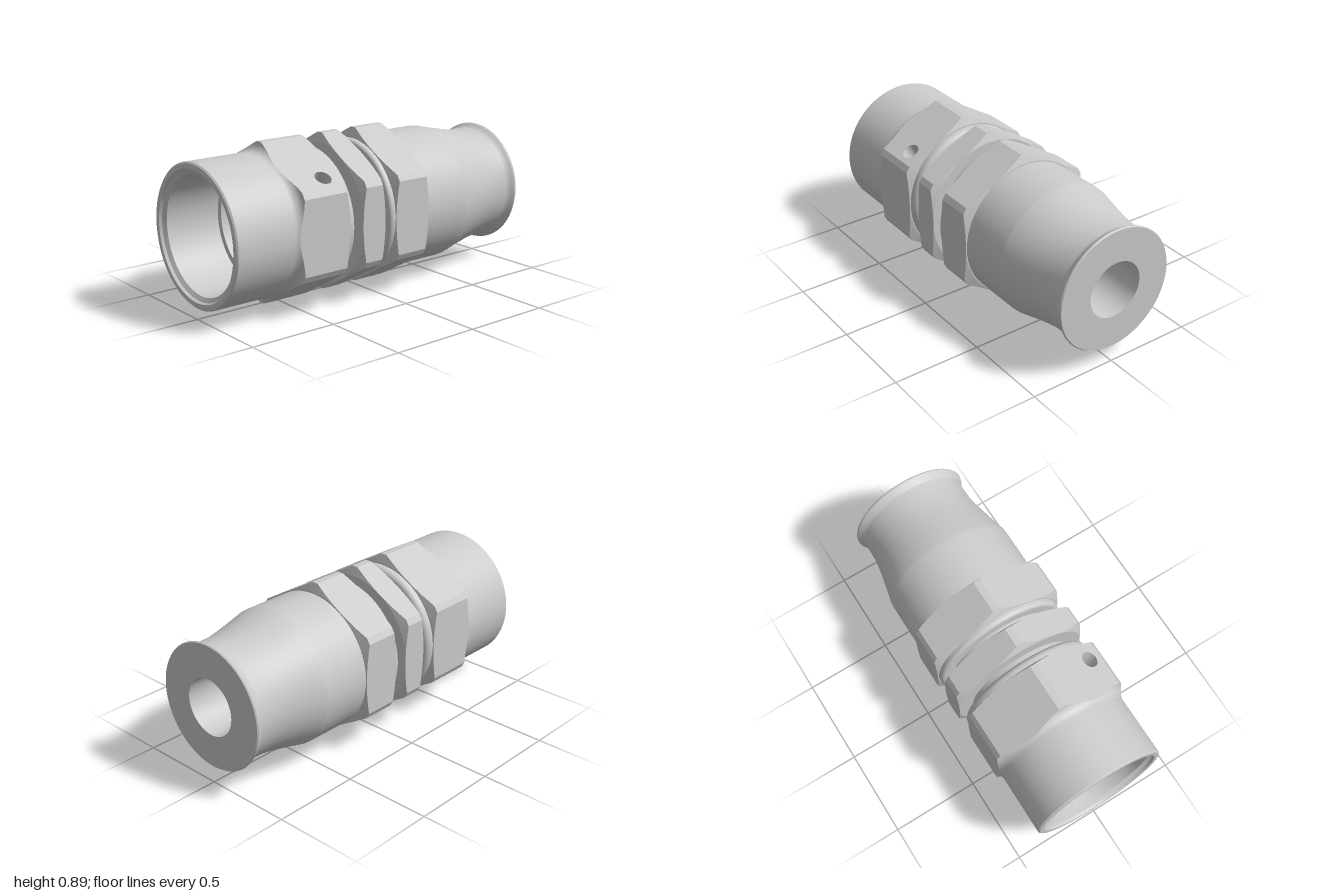
import * as THREE from 'three';
import { toCreasedNormals } from 'three/addons/utils/BufferGeometryUtils.js';

const APOTHEM = 0.393, CORNER = 0.443, BODY = 0.387;
const HALF = Math.sqrt(CORNER ** 2 - APOTHEM ** 2); // half width of a flat, corners turned off
const material = new THREE.MeshStandardMaterial({ color: 0xcccccc });
const doubleSided = new THREE.MeshStandardMaterial({ color: 0xcccccc, side: THREE.DoubleSide });

function addMesh(group, geometry, name, mat = material) {
  const mesh = new THREE.Mesh(geometry, mat);
  mesh.name = name;
  group.add(mesh);
}

// quarter arc of profile points [x, r] around (cx, cr)
function arc(cx, cr, radius, from, to, steps = 12) {
  return Array.from({ length: steps + 1 }, (_, i) => {
    const a = from + (to - from) * i / steps;
    return [cx + radius * Math.cos(a), cr + radius * Math.sin(a)];
  });
}

// revolve a profile of [x, r] around the x axis
function revolve(profile) {
  const g = new THREE.LatheGeometry(profile.map(([x, r]) => new THREE.Vector2(r, x)), 96);
  g.rotateZ(-Math.PI / 2);
  return toCreasedNormals(g, 0.17);
}

// end treatments: start radius, axial offset as a function of radius, steps
const chamfer = { r0: APOTHEM, steps: 1, off: r => 0.02 * (r - APOTHEM) / (CORNER - APOTHEM) };
const fillet = {
  r0: BODY, steps: 10,
  off: r => Math.sqrt(Math.max(0, 0.056 ** 2 - (0.056 - (r - BODY)) ** 2)),
};

function hexNut(name, x0, x1, left, right, hole) {
  const nut = new THREE.Group();
  nut.name = name;
  const N = 24;
  const radius = t => Math.min(CORNER, Math.hypot(APOTHEM, t));
  const ts = Array.from({ length: N + 1 }, (_, i) => HALF * (2 * i / N - 1));

  // turned ends and the narrow lands on the corners
  const end = (e, h, x, dir) => {
    const pts = [[x, 0.29]];
    for (let s = 0; s <= e.steps; s++) {
      const r = e.r0 + (h - e.r0) * (s / e.steps) ** 2;
      pts.push([x + dir * e.off(r), r]);
    }
    return pts;
  };
  const position = [], index = [];
  const cols = 4 + left.steps + right.steps, mid = left.steps + 1;
  for (let k = 0; k < 6; k++) {
    for (const t of ts) {
      const th = k * Math.PI / 3 + Math.atan2(t, APOTHEM), h = radius(t);
      const row = [...end(left, h, x0, 1), ...end(right, h, x1, -1).reverse()];
      for (const [x, r] of row) position.push(x, r * Math.sin(th), r * Math.cos(th));
    }
  }
  const rows = 6 * (N + 1);
  for (let i = 0; i < rows; i++) {
    const land = i % (N + 1) === N, next = (i + 1) % rows;
    for (let j = 0; j < cols - 1; j++) {
      if (j === mid && !land) continue;
      const a = i * cols + j, d = next * cols + j;
      index.push(a, a + 1, d + 1, a, d + 1, d);
    }
  }
  const ends = new THREE.BufferGeometry();
  ends.setAttribute('position', new THREE.Float32BufferAttribute(position, 3));
  ends.setIndex(index);
  addMesh(nut, toCreasedNormals(ends, 0.3), name + 'Ends');

  // six flats, bounded by the curves where they meet the turned ends
  const outline = [
    ...ts.map(t => new THREE.Vector2(x1 - right.off(radius(t)), t)),
    ...ts.map(t => new THREE.Vector2(x0 + left.off(radius(t)), t)).reverse(),
  ];
  for (let k = 0; k < 6; k++) {
    const shape = new THREE.Shape(outline);
    const place = g => g.translate(0, 0, APOTHEM).rotateX(-k * Math.PI / 3);
    if (hole && hole.face === k) {
      shape.holes.push(new THREE.Path().absarc(hole.x, hole.t, hole.r, 0, Math.PI * 2, true));
      const wall = new THREE.CylinderGeometry(hole.r, hole.r, hole.depth, 36, 1, true);
      wall.rotateX(Math.PI / 2).translate(hole.x, hole.t, -hole.depth / 2);
      addMesh(nut, place(wall), 'wireHoleWall', doubleSided);
      const floor = new THREE.CircleGeometry(hole.r, 36).translate(hole.x, hole.t, -hole.depth);
      addMesh(nut, place(floor), 'wireHoleFloor');
    }
    addMesh(nut, place(new THREE.ShapeGeometry(shape, 24)), name + 'Flat');
  }
  return nut;
}

export function createModel() {
  const model = new THREE.Group();
  model.name = 'hoseFitting';
  const fitting = new THREE.Group();
  fitting.name = 'fitting';
  fitting.position.y = CORNER;
  model.add(fitting);

  // collar, neck, second collar, tapered sleeve, flared tip, bore, socket, socket sleeve
  const Q = Math.PI / 2;
  addMesh(fitting, revolve([
    [-0.31, BODY],
    ...arc(-0.285, BODY - 0.035, 0.035, Q, 0),
    [-0.25, 0.31], [-0.21, 0.305], [-0.06, 0.305], [-0.06, 0.312], [-0.015, 0.312],
    ...arc(0.007, BODY - 0.022, 0.022, 2 * Q, Q),
    [0.25, BODY], [0.535, BODY], [0.55, 0.386],
    [0.66, 0.36], [0.75, 0.341], [0.83, 0.328], [0.935, 0.326],
    [0.95, 0.328], [0.965, 0.335], [0.985, 0.349], [0.993, 0.351], [1, 0.346],
    [1, 0.16], [-0.33, 0.16],
    [-0.33, 0.322], [-0.97, 0.322], [-0.985, 0.345], [-1, 0.352],
    [-1, 0.379], [-0.992, BODY], [-0.64, BODY],
  ]), 'body');

  fitting.add(hexNut('socketNut', -0.65, -0.3, fillet, chamfer,
    { face: 1, x: -0.41, t: -0.126, r: 0.047, depth: 0.1 }));
  fitting.add(hexNut('middleNut', -0.21, -0.058, chamfer, chamfer));
  fitting.add(hexNut('sleeveNut', 0.02, 0.255, chamfer, chamfer));
  return model;
}
